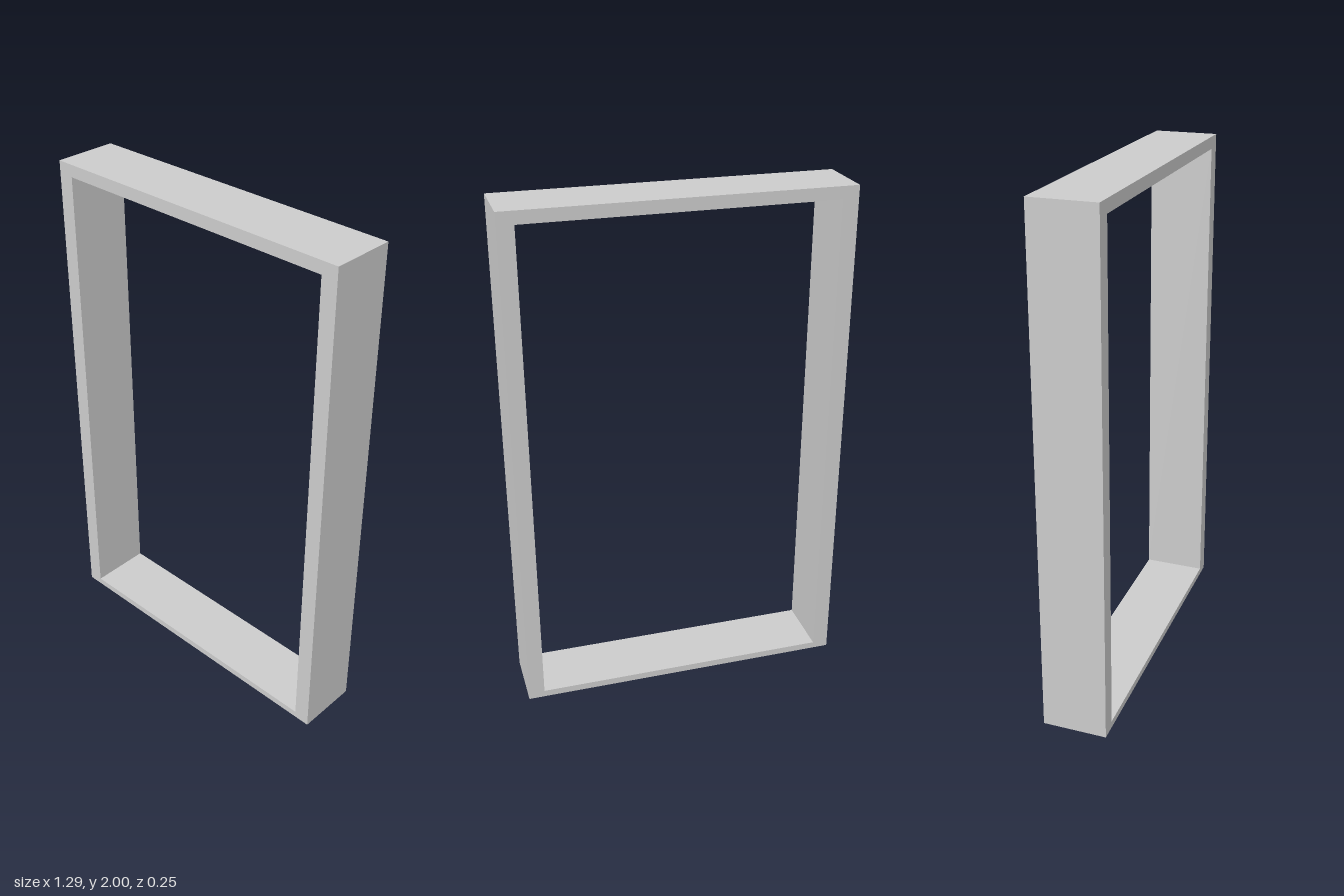
import * as THREE from 'three';

const WIDTH = 1.295, HEIGHT = 2, DEPTH = 0.25;
const JAMB = 0.063, HEAD = 0.048, SILL = 0.027;

// Traces a rectangle onto a shape or hole path
function rectangle(path, x0, y0, x1, y1) {
  path.moveTo(x0, y0);
  path.lineTo(x1, y0);
  path.lineTo(x1, y1);
  path.lineTo(x0, y1);
  path.closePath();
  return path;
}

export function createModel() {
  const group = new THREE.Group();
  group.name = 'openFrame';

  // Rectangular frame: equal side jambs, thicker head than sill
  const half = WIDTH / 2;
  const outline = rectangle(new THREE.Shape(), -half, 0, half, HEIGHT);
  outline.holes.push(rectangle(new THREE.Path(), -half + JAMB, SILL, half - JAMB, HEIGHT - HEAD));

  const geometry = new THREE.ExtrudeGeometry(outline, { depth: DEPTH, bevelEnabled: false });
  geometry.translate(0, 0, -DEPTH / 2);

  const frame = new THREE.Mesh(geometry, new THREE.MeshStandardMaterial({ color: 0xcccccc }));
  frame.name = 'frame';
  group.add(frame);
  return group;
}
